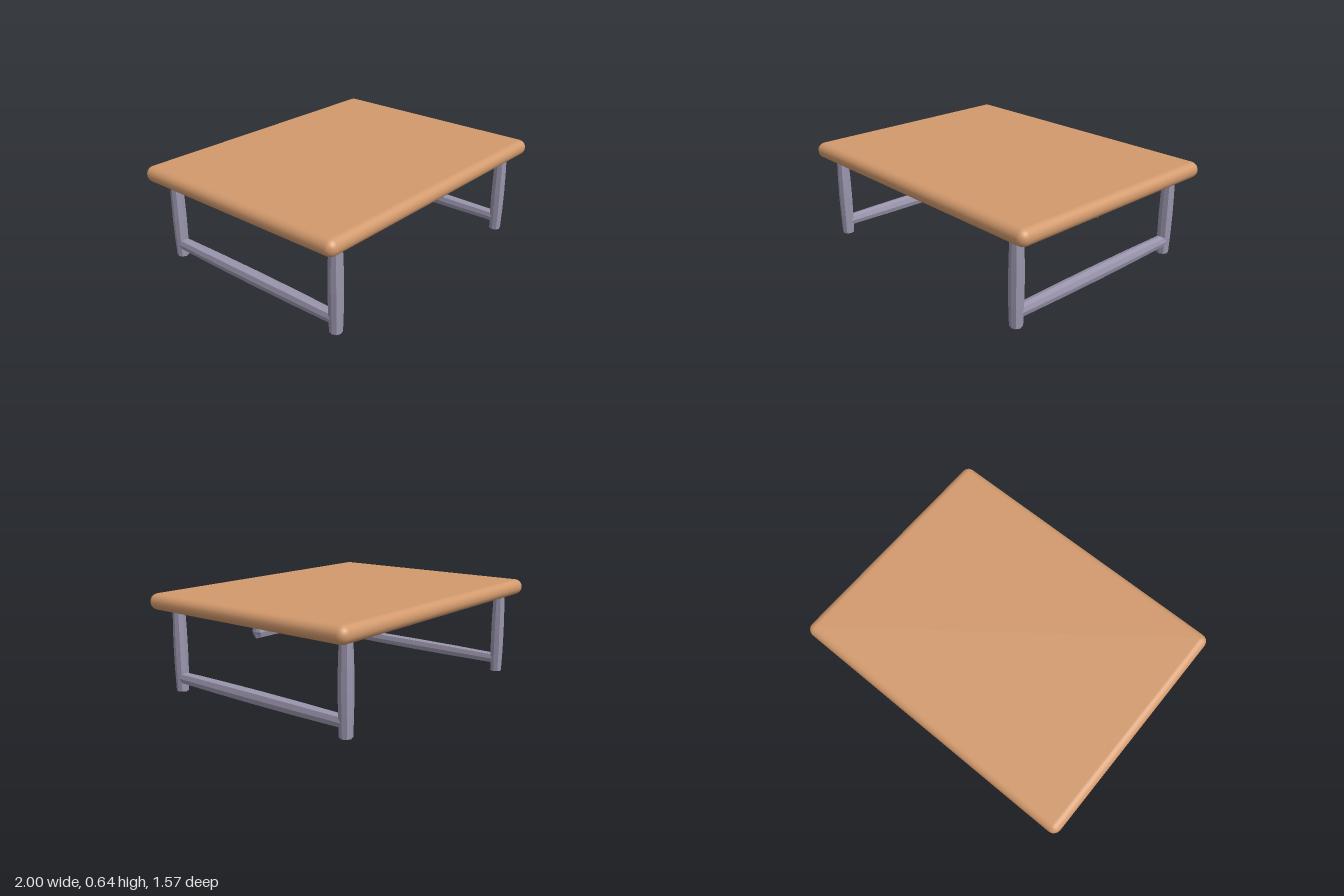
import * as THREE from 'three';
import { RoundedBoxGeometry } from 'three/addons/geometries/RoundedBoxGeometry.js';

const wood = new THREE.MeshStandardMaterial({ color: 0xd2996c });
wood.name = 'warm wood';
const metal = new THREE.MeshStandardMaterial({ color: 0x9a95ad });
metal.name = 'grey violet frame';

// Beam along y whose faces swell gently towards their centres
function beamGeometry(width, length, depth) {
  const geometry = new THREE.BoxGeometry(2, 2, 2, 2, 4, 2);
  const p = geometry.attributes.position;
  for (let i = 0; i < p.count; i++) {
    const u = p.getX(i), v = p.getY(i), w = p.getZ(i);
    const ends = 1 - 0.13 * v * v;
    p.setXYZ(
      i,
      u * (width / 2) * ends * (1 - 0.22 * w * w),
      v * (length / 2) * (1 - 0.01 * (u * u + w * w)),
      w * (depth / 2) * ends * (1 - 0.22 * u * u)
    );
  }
  const flat = geometry.toNonIndexed();
  flat.computeVertexNormals();
  return flat;
}

export function createModel() {
  const group = new THREE.Group();
  group.name = 'lowTable';
  const add = (name, geometry, material, x, y, z) => {
    const mesh = new THREE.Mesh(geometry, material);
    mesh.name = name;
    mesh.position.set(x, y, z);
    group.add(mesh);
    return mesh;
  };

  // Slab with fully rounded rim
  add('tableTop', new RoundedBoxGeometry(2, 0.104, 1.565, 3, 0.051), wood, 0, 0.593, 0);

  // Two side frames: a pair of legs joined by a low rail
  const leg = beamGeometry(0.081, 0.537, 0.081);
  const rail = beamGeometry(0.081, 1.34, 0.083).rotateX(Math.PI / 2);
  // The rail's vertical size is its rotated depth
  for (const side of [1, -1]) {
    const label = side > 0 ? 'left' : 'right';
    for (const end of [1, -1]) {
      add(`${label}${end > 0 ? 'Front' : 'Back'}Leg`, leg, metal, side * 0.845, 0.2685, end * 0.673);
    }
    add(`${label}LowerRail`, rail, metal, side * 0.845, 0.091, 0);
  }

  // Central bar running lengthwise beneath the top
  const bar = beamGeometry(0.09, 1.68, 0.075).rotateZ(Math.PI / 2);
  add('centreBar', bar, metal, 0, 0.482, 0);

  return group;
}
